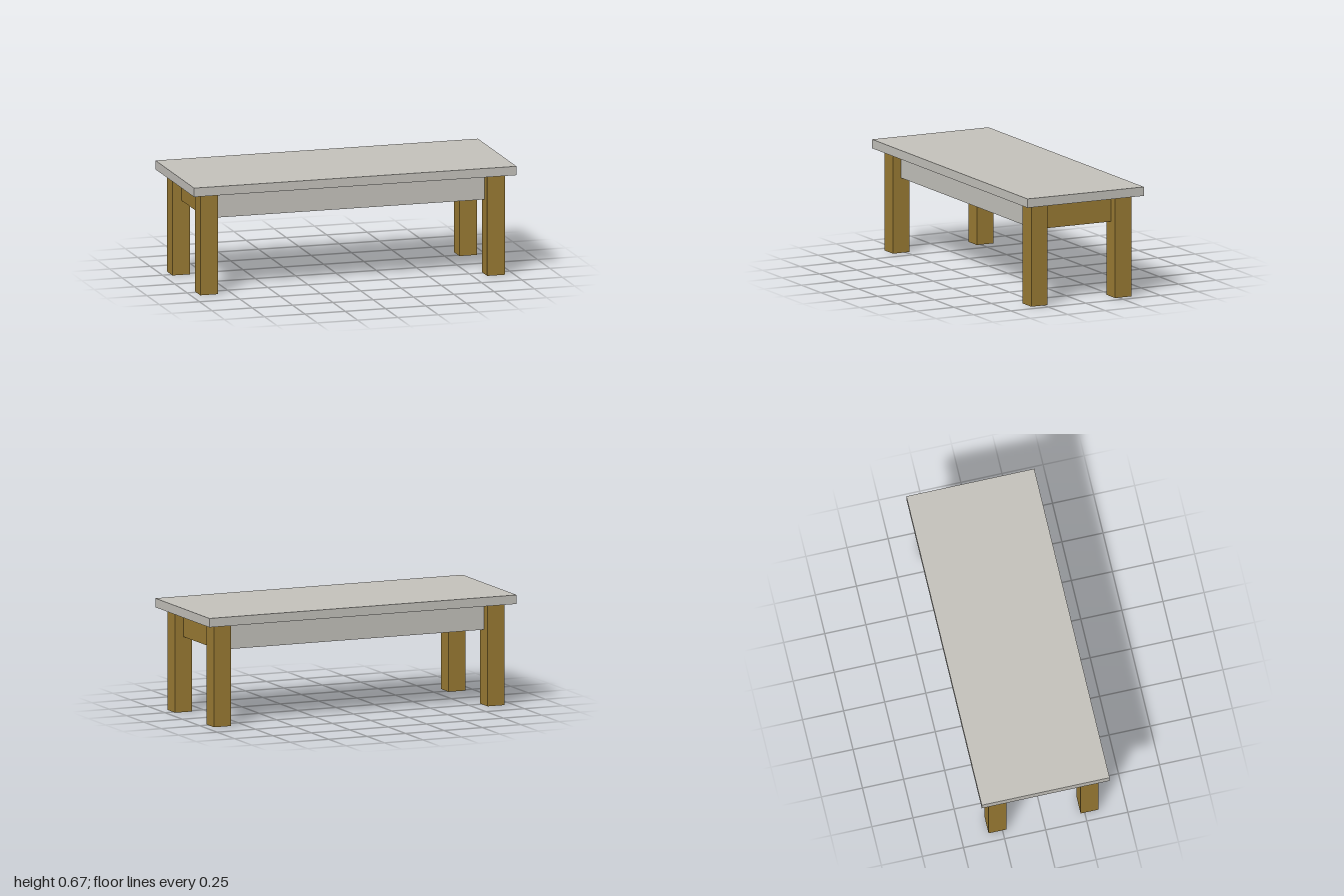
import * as THREE from 'three';

export function createModel() {
  const group = new THREE.Group();
  const stone = new THREE.MeshStandardMaterial({ color: 0xc3c1bb });
  stone.name = 'pale grey';
  const wood = new THREE.MeshStandardMaterial({ color: 0x997a33 });
  wood.name = 'brown wood';

  // Box given by its size and centre
  function addBox(name, material, [w, h, d], [x, y, z]) {
    const mesh = new THREE.Mesh(new THREE.BoxGeometry(w, h, d), material);
    mesh.name = name;
    mesh.position.set(x, y, z);
    group.add(mesh);
  }

  const topThickness = 0.054;
  const legHeight = 0.613;
  const leg = 0.11;
  const legX = 0.89;
  const legZ = 0.28;
  const railHeight = 0.154;
  const railY = 0.53;
  const rail = leg / 2; // rails fill the inner half of each leg

  addBox('tableTop', stone, [2, topThickness, 0.778], [0, legHeight + topThickness / 2, 0]);

  for (const s of [1, -1]) {
    const side = s > 0 ? 'left' : 'right';
    const end = s > 0 ? 'front' : 'back';

    // Legs
    for (const t of [1, -1]) {
      addBox(`${side}${t > 0 ? 'Front' : 'Back'}Leg`, wood,
        [leg, legHeight, leg], [s * legX, legHeight / 2, t * legZ]);
    }

    // Long rails run between the legs, short rails close the ends
    addBox(`${end}Rail`, stone,
      [2 * legX - leg, railHeight, rail], [0, railY, s * (legZ - rail / 2)]);
    addBox(`${side}EndRail`, wood,
      [rail, railHeight, 2 * legZ - leg], [s * (legX - rail / 2), railY, 0]);
  }

  return group;
}
